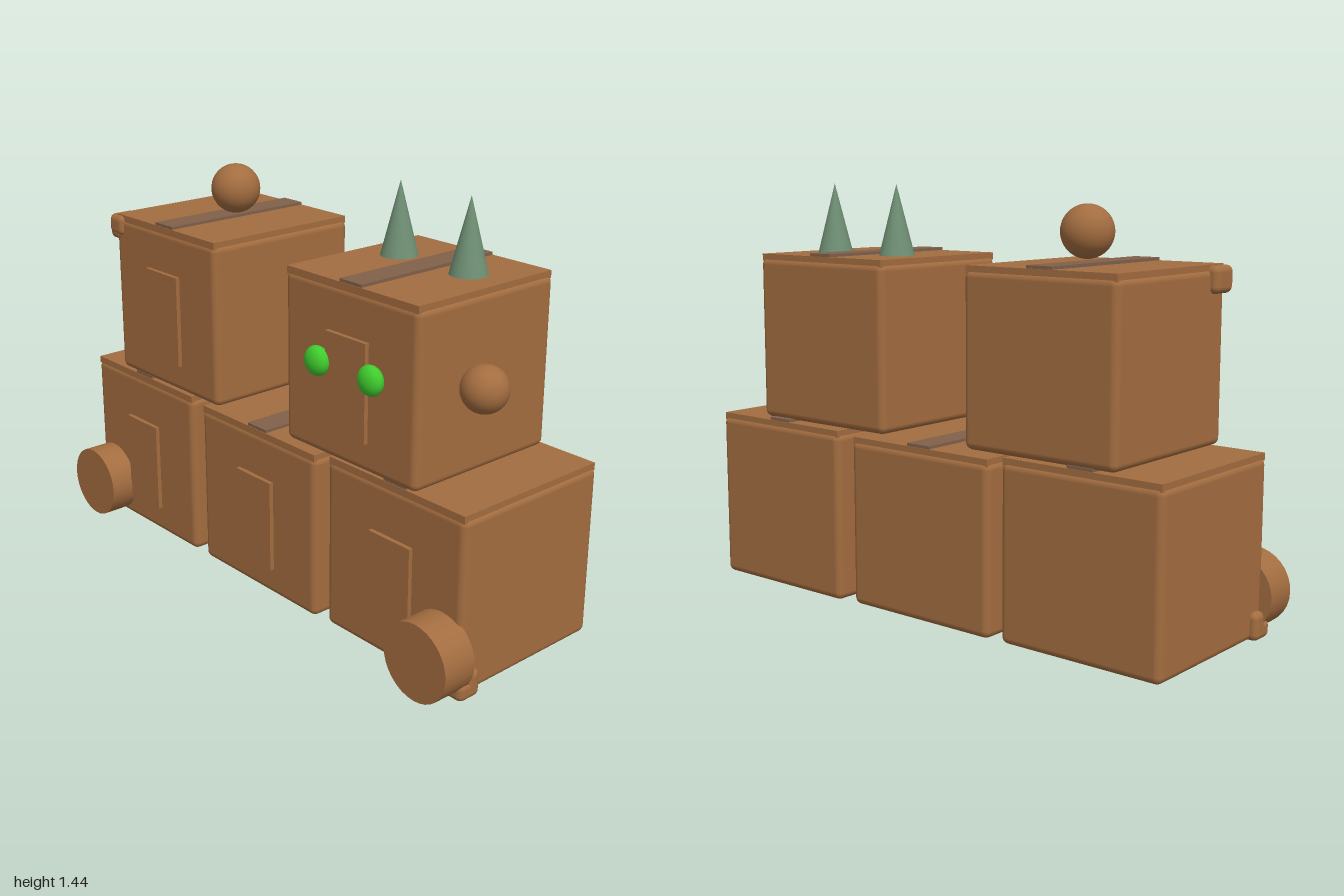
import * as THREE from 'three';
import { RoundedBoxGeometry } from 'three/addons/geometries/RoundedBoxGeometry.js';

const mat = (name, color) => {
  const m = new THREE.MeshStandardMaterial({ color });
  m.name = name;
  return m;
};

export function createModel() {
  const model = new THREE.Group();
  model.name = 'crateStack';
  const brown = mat('cardboardBrown', 0xa36d40);
  const taupe = mat('strapTaupe', 0x80604a);
  const sage = mat('sageGreen', 0x6f8f74);
  const green = mat('eyeGreen', 0x3fcc2e);

  const add = (parent, name, geometry, material, x, y, z) => {
    const mesh = new THREE.Mesh(geometry, material);
    mesh.name = name;
    mesh.position.set(x, y, z);
    parent.add(mesh);
    return mesh;
  };

  // Box given by its limits on each axis, rounded when a radius is given
  const block = (parent, name, material, [x0, x1], [y0, y1], [z0, z1], radius = 0) => {
    const size = [x1 - x0, y1 - y0, z1 - z0];
    const geometry = radius
      ? new RoundedBoxGeometry(...size, 3, radius)
      : new THREE.BoxGeometry(...size);
    return add(parent, name, geometry, material, (x0 + x1) / 2, (y0 + y1) / 2, (z0 + z1) / 2);
  };

  // Crate: rounded body, thin lid, strap over the lid and a raised front panel
  const crate = (name, [x0, x1], [y0, y1], [z0, z1]) => {
    const g = new THREE.Group();
    g.name = name;
    const cx = (x0 + x1) / 2;
    block(g, 'body', brown, [x0, x1], [y0, y1], [z0, z1], 0.025);
    block(g, 'lid', brown, [x0 + 0.007, x1 - 0.007], [y1 - 0.012, y1 + 0.013], [z0 + 0.007, z1 - 0.004]);
    block(g, 'strap', taupe, [cx - 0.048, cx + 0.048], [y1, y1 + 0.023], [z0 + 0.009, z1 - 0.006]);
    block(g, 'frontPanel', brown, [cx - 0.09, cx + 0.09], [y0 + 0.1, y0 + 0.425], [z1 - 0.01, z1 + 0.015]);
    model.add(g);
  };
  crate('lowerRightCrate', [-0.955, -0.355], [0.005, 0.595], [-0.345, 0.26]);
  crate('lowerMiddleCrate', [-0.305, 0.3], [0.003, 0.58], [-0.345, 0.255]);
  crate('lowerLeftCrate', [0.348, 0.95], [0.005, 0.595], [-0.362, 0.245]);
  crate('upperRightCrate', [-0.785, -0.2], [0.613, 1.185], [-0.34, 0.262]);
  crate('upperLeftCrate', [0.155, 0.75], [0.613, 1.185], [-0.338, 0.253]);

  // Round feet and small corner guards at the bottom front
  for (const s of [-1, 1]) {
    const foot = new THREE.CylinderGeometry(0.13, 0.13, 0.125, 32);
    add(model, 'frontFoot', foot, brown, s * 0.87, 0.138, 0.2975).rotation.x = Math.PI / 2;
    const xs = (a, b) => (s > 0 ? [a, b] : [-b, -a]);
    block(model, 'cornerGuard', brown, xs(0.91, 0.98), [0.005, 0.1], [0.18, 0.24], 0.022);
    block(model, 'cornerGuard', brown, xs(0.9, 0.98), [0.005, 0.068], [0.18, 0.27], 0.022);
  }

  // Corner guard at the top of the upper right crate
  block(model, 'topCornerGuard', brown, [-0.812, -0.745], [1.105, 1.195], [0.17, 0.272], 0.022);
  block(model, 'topCornerGuard', brown, [-0.812, -0.73], [1.12, 1.195], [0.19, 0.275], 0.022);

  // Loose balls
  add(model, 'topBall', new THREE.SphereGeometry(0.087, 32, 24), brown, -0.46, 1.3, -0.038);
  add(model, 'sideBall', new THREE.SphereGeometry(0.075, 32, 24), brown, 0.845, 0.932, 0.069);

  // Pointed ears
  for (const x of [0.302, 0.605]) {
    add(model, 'ear', new THREE.ConeGeometry(0.062, 0.245, 32), sage, x, 1.3205, -0.105);
  }

  // Flattened eyes
  for (const x of [0.334, 0.575]) {
    const eye = add(model, 'eye', new THREE.SphereGeometry(0.049, 24, 16), green, x, 0.933, 0.275);
    eye.scale.z = 0.66;
  }
  return model;
}
